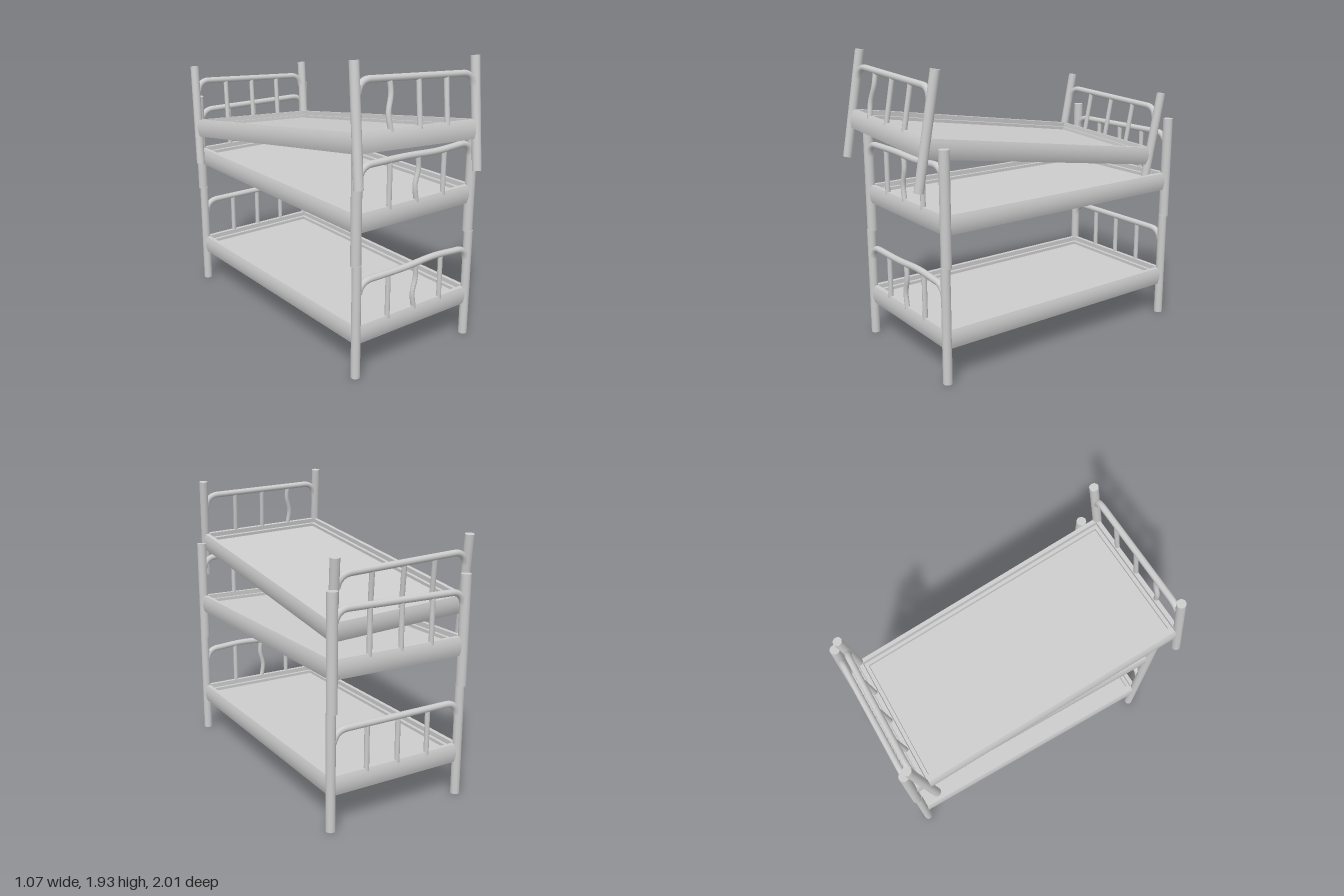
import * as THREE from 'three';
import { toCreasedNormals } from 'three/addons/utils/BufferGeometryUtils.js';

const HX = 0.466, HZ = 0.912;   // post centres
const RAIL_Y = 0.256;           // middle height of the rails
const ARCH_Y = 0.595;           // height of the end arches

const material = new THREE.MeshStandardMaterial({ color: 0xcccccc });

function add(parent, name, geometry, x = 0, y = 0, z = 0) {
  const mesh = new THREE.Mesh(geometry, material);
  mesh.name = name;
  mesh.position.set(x, y, z);
  parent.add(mesh);
  return mesh;
}

// Rail along z with a flat inside (-x) and a bulging outside (+x)
function railGeometry(length) {
  const s = new THREE.Shape();
  s.moveTo(-0.02, -0.06);
  s.lineTo(0.008, -0.06);
  s.quadraticCurveTo(0.031, 0, 0.008, 0.06);
  s.lineTo(-0.02, 0.06);
  s.closePath();
  const g = new THREE.ExtrudeGeometry(s, { depth: length, bevelEnabled: false, curveSegments: 10 });
  g.translate(0, 0, -length / 2);
  return toCreasedNormals(g, 0.5);
}

// Arched tube between two posts; hump lifts one point of its top
function archGeometry(hump) {
  const v = (x, y) => new THREE.Vector3(x, y, 0);
  const path = new THREE.CurvePath();
  const r = 0.36;
  path.add(new THREE.QuadraticBezierCurve3(v(-0.45, 0.52), v(-0.435, ARCH_Y), v(-r, ARCH_Y)));
  path.add(new THREE.CatmullRomCurve3([
    v(-r, ARCH_Y), v(-0.1, ARCH_Y), v(0.16, ARCH_Y + hump), v(r, ARCH_Y)]));
  path.add(new THREE.QuadraticBezierCurve3(v(r, ARCH_Y), v(0.435, ARCH_Y), v(0.45, 0.52)));
  return new THREE.TubeGeometry(path, 64, 0.021, 14);
}

// Thin upright bar, optionally bent sideways
function spindleGeometry(bend) {
  const y0 = RAIL_Y + 0.04;
  const points = [0, 0.35, 0.7, 1].map((t, i) =>
    new THREE.Vector3([0, -0.7, 0.3, 0][i] * bend, y0 + (ARCH_Y - y0) * t, 0));
  return new THREE.TubeGeometry(new THREE.CatmullRomCurve3(points), 16, 0.016, 12);
}

// Rectangular frame with an opening, lying flat
function ledgeGeometry() {
  const rect = (path, x, z) => {
    path.moveTo(-x, -z); path.lineTo(x, -z); path.lineTo(x, z); path.lineTo(-x, z); path.closePath();
    return path;
  };
  const s = rect(new THREE.Shape(), HX - 0.01, HZ - 0.01);
  s.holes.push(rect(new THREE.Path(), HX - 0.043, HZ - 0.043));
  const g = new THREE.ExtrudeGeometry(s, { depth: 0.083, bevelEnabled: false });
  return g.rotateX(-Math.PI / 2);
}

function createBed(name, { postBottom = 0, postTop = 0.7, radius = 0.029, bent = 0, hump = 0 }) {
  const bed = new THREE.Group();
  bed.name = name;

  // Corner posts
  const post = new THREE.CylinderGeometry(radius, radius, postTop - postBottom, 24);
  for (const sx of [-1, 1]) for (const sz of [-1, 1])
    add(bed, 'post', post, sx * HX, (postTop + postBottom) / 2, sz * HZ);

  // Side and end rails
  const side = railGeometry(2 * HZ), end = railGeometry(2 * HX);
  for (const s of [-1, 1]) {
    add(bed, 'sideRail', side, s * HX, RAIL_Y, 0).rotation.y = s > 0 ? 0 : Math.PI;
    add(bed, 'endRail', end, 0, RAIL_Y, s * HZ).rotation.y = -s * Math.PI / 2;
  }

  // Stepped ledge and base panel
  add(bed, 'ledge', ledgeGeometry(), 0, RAIL_Y - 0.053, 0);
  add(bed, 'basePanel', new THREE.BoxGeometry(2 * HX - 0.07, 0.055, 2 * HZ - 0.07), 0, RAIL_Y - 0.018, 0);

  // Arches with three spindles at each end; one front spindle is bent
  for (const s of [-1, 1]) {
    const board = new THREE.Group();
    board.name = s > 0 ? 'frontBoard' : 'backBoard';
    board.position.z = s * HZ;
    add(board, 'arch', archGeometry(s > 0 ? hump : 0));
    for (const i of [-1, 0, 1])
      add(board, 'spindle', spindleGeometry(s > 0 && i === bent ? 0.022 : 0), i * 0.22);
    bed.add(board);
  }
  return bed;
}

export function createModel() {
  const model = new THREE.Group();
  model.name = 'tripleBunkBed';

  const lower = createBed('lowerBed', { postBottom: -0.025, postTop: 0.71, hump: 0.013 });
  lower.position.set(0.035, 0.025, -0.049);

  const middle = createBed('middleBed', { radius: 0.0325, hump: -0.01 });
  middle.position.set(0.034, 0.729, -0.057);

  // The top bed lies askew, raised at the front
  const upper = createBed('upperBed', { bent: -1 });
  upper.position.set(-0.047, 1.073, 0.07);
  upper.rotation.set(-8.4 * Math.PI / 180, 0, -3.4 * Math.PI / 180);

  model.add(lower, middle, upper);
  return model;
}
